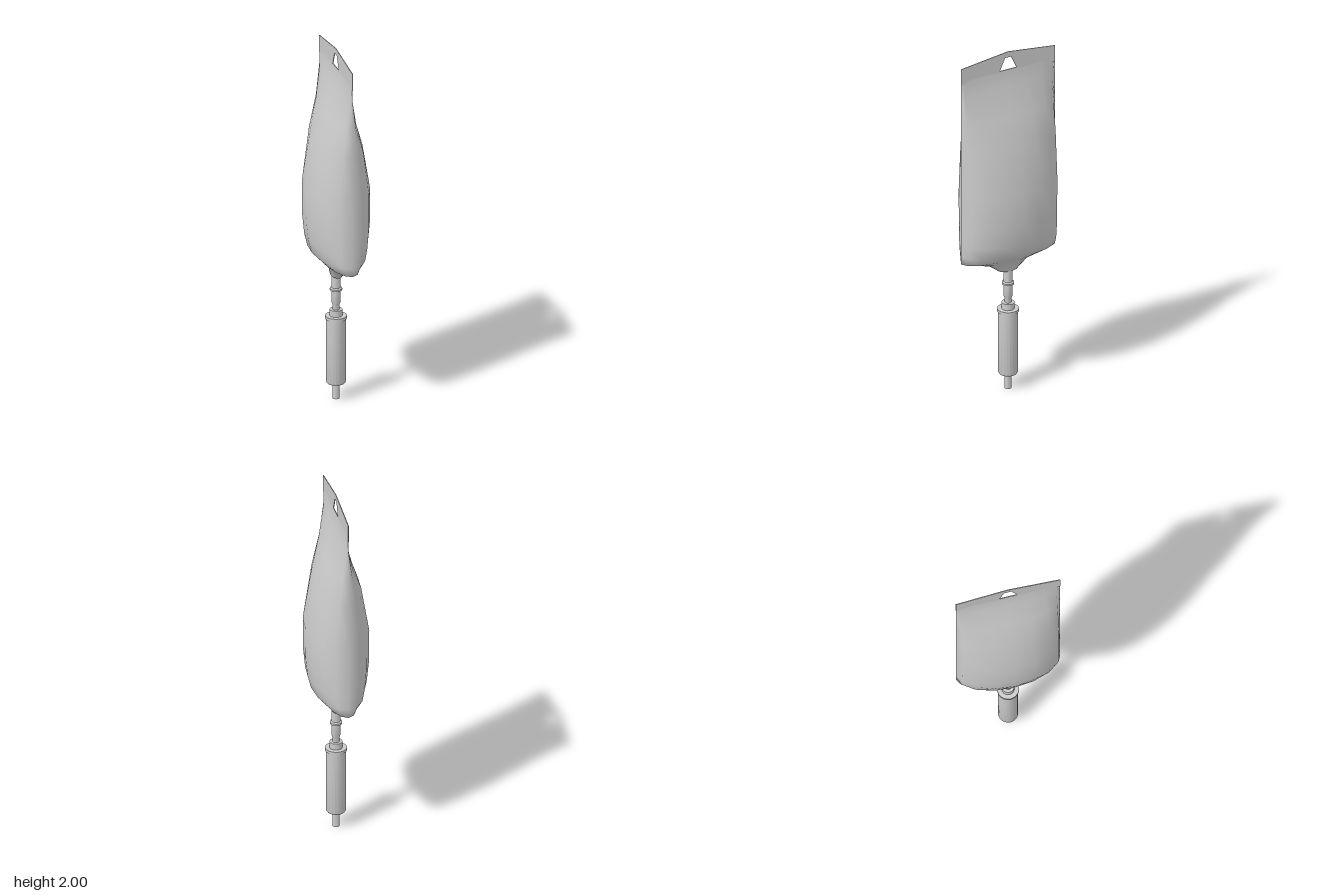
import * as THREE from 'three';
import { toCreasedNormals } from 'three/addons/utils/BufferGeometryUtils.js';

const material = new THREE.MeshStandardMaterial({ color: 0xcccccc, side: THREE.DoubleSide });

function part(name, geometry) {
  const mesh = new THREE.Mesh(geometry, material);
  mesh.name = name;
  return mesh;
}

// Turned part from [radius, y] pairs, listed bottom to top
function turned(name, profile) {
  const points = profile.map(([r, y]) => new THREE.Vector2(r, y));
  return part(name, toCreasedNormals(new THREE.LatheGeometry(points, 20), 0.6));
}

// Skin over 16-sided elliptical rings given as [y, half width x, half width z]
function loft(rings, sides = 16) {
  const positions = [];
  const index = [];
  rings.forEach(([y, rx, rz], r) => {
    for (let i = 0; i < sides; i++) {
      const a = (i / sides) * Math.PI * 2;
      positions.push(rx * Math.sin(a), y, rz * Math.cos(a));
      if (r === rings.length - 1) continue;
      const p = r * sides + i;
      const q = r * sides + ((i + 1) % sides);
      index.push(p, q, p + sides, q, q + sides, p + sides);
    }
  });
  const geometry = new THREE.BufferGeometry();
  geometry.setAttribute('position', new THREE.Float32BufferAttribute(positions, 3));
  geometry.setIndex(index);
  geometry.computeVertexNormals();
  return geometry;
}

export function createModel() {
  const group = new THREE.Group();
  group.name = 'dripBag';

  // Filled pouch, swelling from the port and pinching flat at the top
  group.add(part('pouch', loft([
    [0.705, 0.001, 0.001],
    [0.705, 0.028, 0.055],
    [0.755, 0.032, 0.12],
    [0.805, 0.09, 0.284],
    [0.85, 0.135, 0.284],
    [0.92, 0.153, 0.284],
    [1.03, 0.165, 0.284],
    [1.22, 0.167, 0.284],
    [1.48, 0.12, 0.284],
    [1.64, 0.066, 0.284],
    [1.8, 0.013, 0.284],
    [1.89, 0.003, 0.284],
  ])));

  // Flat sealed strip with the hanging hole
  const strip = new THREE.Shape([
    [-0.284, 1.87], [0.284, 1.87], [0.284, 1.965], [0, 2], [-0.284, 1.965],
  ].map(([x, y]) => new THREE.Vector2(x, y)));
  strip.holes.push(new THREE.Path([
    [-0.05, 1.895], [-0.018, 1.967], [0.018, 1.967], [0.05, 1.895],
  ].map(([x, y]) => new THREE.Vector2(x, y))));
  const stripGeometry = new THREE.ExtrudeGeometry(strip, { depth: 0.004, bevelEnabled: false });
  stripGeometry.translate(0, 0, -0.002).rotateY(Math.PI / 2);
  group.add(part('hangingStrip', stripGeometry));

  // Outlet port with its collar and tapered spike
  group.add(turned('outletPort', [
    [0.018, 0.5], [0.018, 0.535], [0.024, 0.55], [0.024, 0.615], [0.033, 0.62],
    [0.033, 0.63], [0.024, 0.635], [0.024, 0.71],
  ]));

  // Drip chamber with a flanged cap
  group.add(turned('dripChamber', [
    [0, 0.09], [0.048, 0.09], [0.053, 0.098], [0.053, 0.46],
  ]));
  group.add(turned('chamberCap', [
    [0.053, 0.458], [0.058, 0.458], [0.058, 0.474], [0.034, 0.474],
    [0.034, 0.51], [0, 0.51],
  ]));

  // Tube stub below the chamber
  group.add(turned('outletTube', [[0, 0], [0.018, 0], [0.018, 0.092]]));

  return group;
}
